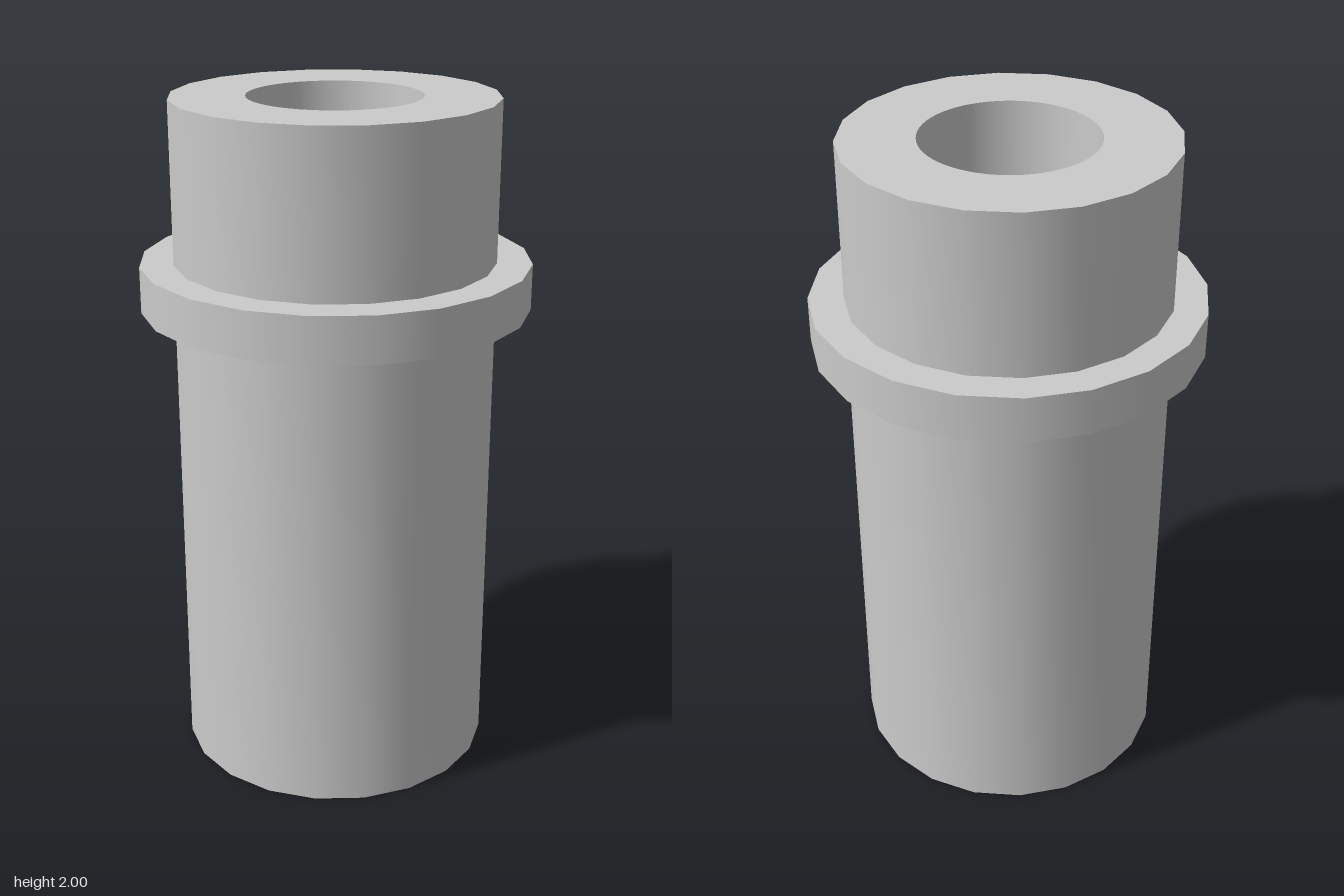
import * as THREE from 'three';
import { toCreasedNormals } from 'three/addons/utils/BufferGeometryUtils.js';

const SIDES = 20, BORE_SIDES = 64;
const HEIGHT = 2, BODY_R = 0.466, BORE_R = 0.249;
const COLLAR_R = 0.565, COLLAR_BOTTOM = 1.4, COLLAR_TOP = 1.535;

// Corners of a regular polygon, starting on the x axis
function polygon(radius, sides) {
  return Array.from({ length: sides }, (_, i) => {
    const a = (i / sides) * Math.PI * 2;
    return new THREE.Vector2(Math.cos(a) * radius, Math.sin(a) * radius);
  });
}

export function createModel() {
  const group = new THREE.Group();
  group.name = 'flangedBushing';
  const material = new THREE.MeshStandardMaterial({ color: 0xcccccc });

  // Thick-walled tube with a round bore
  const shape = new THREE.Shape(polygon(BODY_R, SIDES));
  shape.holes.push(new THREE.Path(polygon(BORE_R, BORE_SIDES)));
  const tube = new THREE.ExtrudeGeometry(shape, { depth: HEIGHT, bevelEnabled: false });
  tube.rotateX(-Math.PI / 2);
  const body = new THREE.Mesh(toCreasedNormals(tube, 0.6), material);
  body.name = 'body';
  body.position.set(-0.004, 0, -0.002);
  group.add(body);

  // Solid collar disc, which also closes the bore at its height
  const collar = new THREE.Mesh(
    new THREE.CylinderGeometry(COLLAR_R, COLLAR_R, COLLAR_TOP - COLLAR_BOTTOM, SIDES), material);
  collar.name = 'collar';
  collar.position.set(-0.001, (COLLAR_TOP + COLLAR_BOTTOM) / 2, -0.001);
  group.add(collar);

  return group;
}
